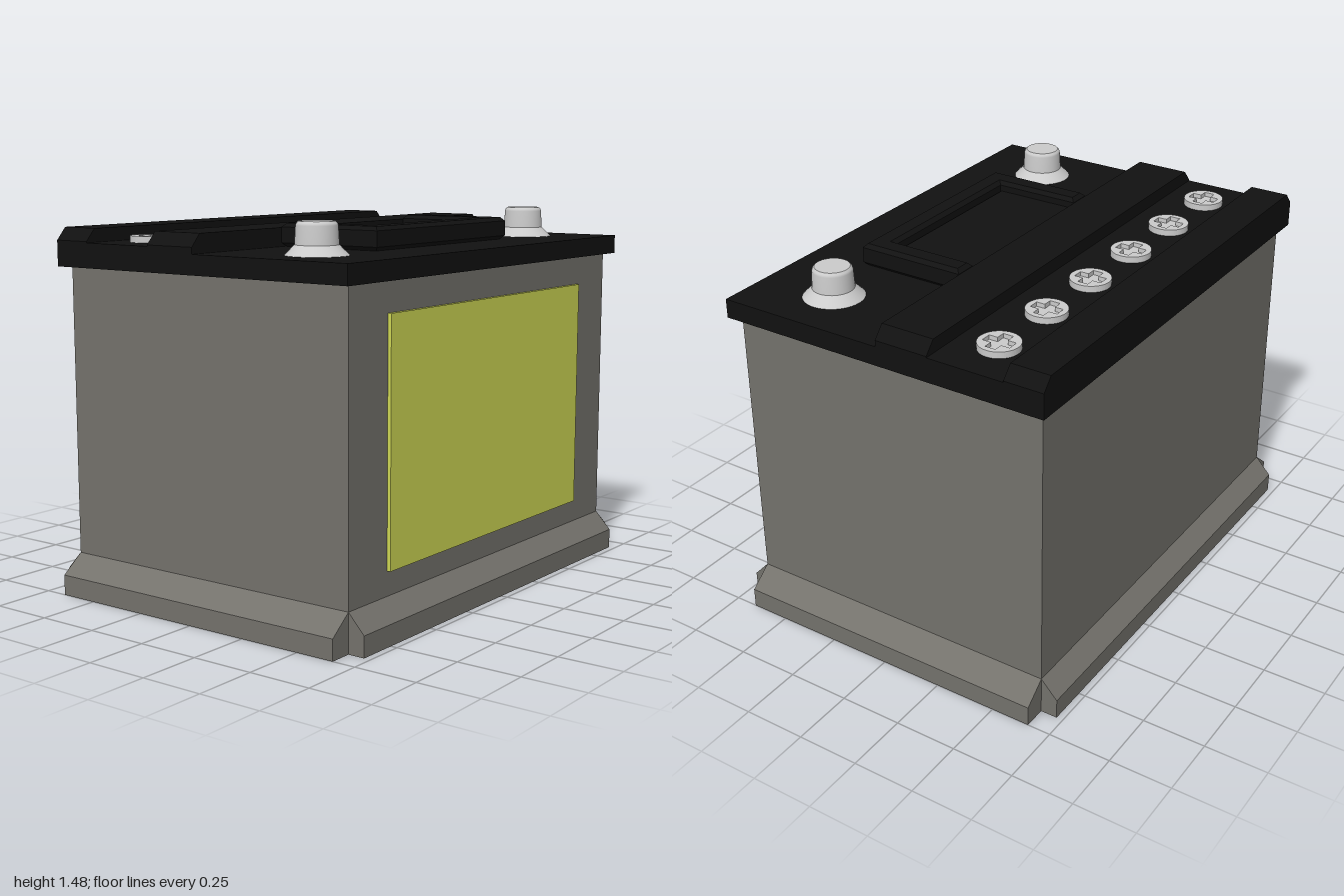
import * as THREE from 'three';

const mat = (color, flatShading = false) => new THREE.MeshStandardMaterial({ color, flatShading });

export function createModel() {
  const model = new THREE.Group();
  const caseMat = mat(0x74726c, true), lidMat = mat(0x111111, true);
  const labelMat = mat(0xd0d855, true), metal = mat(0xcccccc), metalFlat = mat(0xcccccc, true);

  const add = (name, geometry, material, parent = model) => {
    const mesh = new THREE.Mesh(geometry, material);
    mesh.name = name;
    parent.add(mesh);
    return mesh;
  };
  const box = (name, x0, x1, y0, y1, z0, z1, material) =>
    add(name, new THREE.BoxGeometry(x1 - x0, y1 - y0, z1 - z0), material)
      .position.set((x0 + x1) / 2, (y0 + y1) / 2, (z0 + z1) / 2);
  const polygon = (pts) => new THREE.Shape(pts.map(([x, y]) => new THREE.Vector2(x, y)));
  const extrude = (shape, depth) => new THREE.ExtrudeGeometry(shape, { depth, bevelEnabled: false });

  // Case and front label
  box('case', -0.91, 0.91, 0, 1.28, -0.657, 0.657, caseMat);
  box('label', -0.68, 0.675, 0.245, 1.165, 0.657, 0.671, labelMat);

  // Sloped hold-down ledges around the foot, leaving notched corners
  const ledge = (name, length, inner, reach, angle) => {
    const g = extrude(polygon([[0, 0], [reach, 0], [reach, 0.08], [0, 0.152]]), length);
    g.translate(inner, 0, -length / 2);
    g.rotateY(angle);
    add(name, g, caseMat);
  };
  ledge('leftLedge', 1.314, 0.91, 0.09, 0);
  ledge('rightLedge', 1.314, 0.91, 0.09, Math.PI);
  ledge('backLedge', 1.82, 0.657, 0.067, Math.PI / 2);
  ledge('frontLedge', 1.82, 0.657, 0.067, -Math.PI / 2);

  // Lid in strips from front to back; tall strips have chamfered ends
  const strip = (name, z0, z1, top) => {
    const side = top > 1.38 ? [[0.955, 1.38], [0.912, top]] : [[0.955, top]];
    const right = [[0.955, 1.28], ...side];
    const left = right.map(([x, y]) => [-x, y]).reverse();
    const g = extrude(polygon([...right, ...left]), z1 - z0);
    g.translate(0, 0, z0);
    add(name, g, lidMat);
  };
  strip('lidFrontDeck', 0, 0.688, 1.355);
  strip('lidMiddleRidge', -0.218, 0, 1.428);
  strip('lidCapChannel', -0.53, -0.218, 1.375);
  strip('lidBackRidge', -0.688, -0.53, 1.428);

  // Raised U-shaped surround with a sunken panel
  const b = 0.015;
  const surround = new THREE.ExtrudeGeometry(polygon([
    [-0.45 + b, 0], [-0.36 - b, 0], [-0.36 - b, 0.34 + b], [0.36 + b, 0.34 + b],
    [0.36 + b, 0], [0.45 - b, 0], [0.45 - b, 0.43 - b], [-0.45 + b, 0.43 - b],
  ]), { depth: 0.06, bevelThickness: b, bevelSize: b, bevelSegments: 1 });
  surround.rotateX(Math.PI / 2);
  surround.translate(0, 1.43, b);
  add('lidSurround', surround, lidMat);
  box('lidPanel', -0.37, 0.37, 1.35, 1.405, 0, 0.35, lidMat);

  // Terminal posts with flared collars
  const lathe = (pts) => new THREE.LatheGeometry(pts.map(([x, y]) => new THREE.Vector2(x, y)), 40);
  const collar = lathe([[0.117, 0], [0.08, 0.037]]);
  const post = lathe([[0.08, 0.035], [0.076, 0.105], [0.073, 0.113], [0.066, 0.12]]);
  const postTop = new THREE.CircleGeometry(0.066, 40).rotateX(-Math.PI / 2).translate(0, 0.12, 0);
  for (const side of [-1, 1]) {
    const terminal = new THREE.Group();
    terminal.name = side > 0 ? 'leftTerminal' : 'rightTerminal';
    terminal.position.set(side * 0.715, 1.355, 0.375);
    add('collar', collar, metal, terminal);
    add('post', post, metal, terminal);
    add('postTop', postTop, metal, terminal);
    model.add(terminal);
  }

  // Six filler caps with a cross-shaped slot
  const a = 0.056, w = 0.021;
  const disc = new THREE.Shape().absarc(0, 0, 0.079, 0, Math.PI * 2);
  disc.holes.push(polygon([
    [-w, -a], [-w, -w], [-a, -w], [-a, w], [-w, w], [-w, a],
    [w, a], [w, w], [a, w], [a, -w], [w, -w], [w, -a],
  ]));
  const capRing = new THREE.ExtrudeGeometry(disc, { depth: 0.025, bevelEnabled: false, curveSegments: 32 });
  capRing.rotateX(-Math.PI / 2);
  const slotFloor = new THREE.CircleGeometry(0.07, 32).rotateX(-Math.PI / 2).translate(0, 0.008, 0);
  for (let i = 0; i < 6; i++) {
    const cap = new THREE.Group();
    cap.name = `fillerCap${i + 1}`;
    cap.position.set((i - 2.5) * 0.304, 1.375, -0.385);
    add('capRing', capRing, metalFlat, cap);
    add('slotFloor', slotFloor, metalFlat, cap);
    model.add(cap);
  }
  return model;
}
